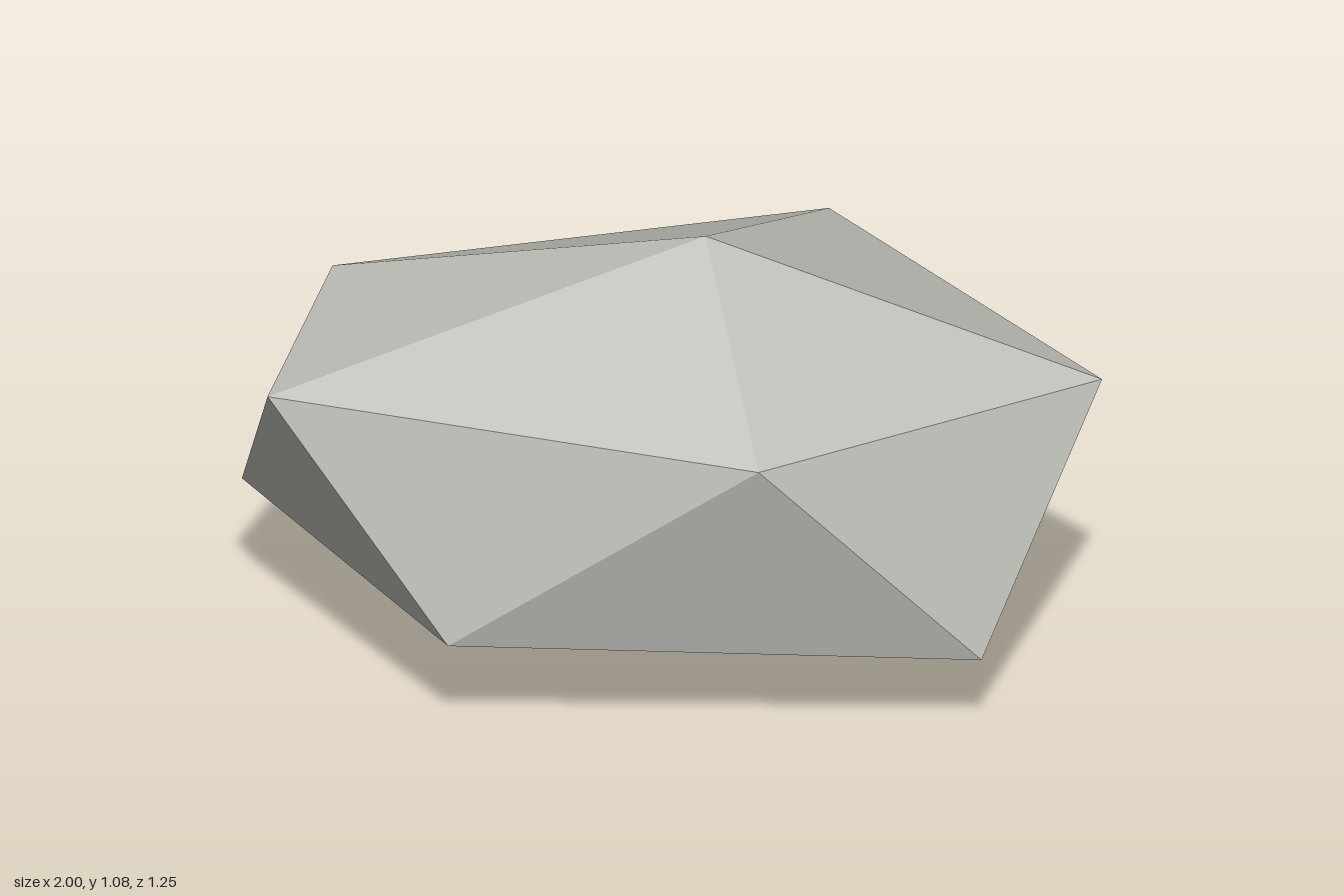
import * as THREE from 'three';

// Faceted boulder: a distorted icosahedron made of two staggered five-point rings and two poles.
export function createModel() {
  const group = new THREE.Group();
  group.name = 'boulder';

  const top = [0.10, 1.08, 0.085];
  const bottom = [-0.07, 0, 0.055];
  // Rings run counterclockwise seen from above; lower[i] sits between upper[i] and upper[i + 1]
  const upper = [
    [-0.875, 0.745, 0.38], [0.30, 0.76, 0.627], [1.0, 0.703, -0.057],
    [0.285, 0.803, -0.627], [-0.805, 0.80, -0.187],
  ];
  const lower = [
    [-0.425, 0.245, 0.60], [0.788, 0.205, 0.42], [0.65, 0.37, -0.365],
    [-0.18, 0.323, -0.555], [-1.0, 0.29, -0.08],
  ];

  const positions = [];
  const face = (a, b, c) => positions.push(...a, ...b, ...c);
  for (let i = 0; i < 5; i++) {
    const n = (i + 1) % 5;
    face(top, upper[i], upper[n]);        // crown
    face(upper[i], lower[i], upper[n]);   // sides
    face(lower[i], lower[n], upper[n]);
    face(bottom, lower[n], lower[i]);     // underside
  }

  const geometry = new THREE.BufferGeometry();
  geometry.setAttribute('position', new THREE.Float32BufferAttribute(positions, 3));
  geometry.computeVertexNormals();

  const stone = new THREE.MeshStandardMaterial({ color: 0xbebeb8, flatShading: true });
  stone.name = 'light grey stone';
  const rock = new THREE.Mesh(geometry, stone);
  rock.name = 'rock';
  group.add(rock);
  return group;
}
